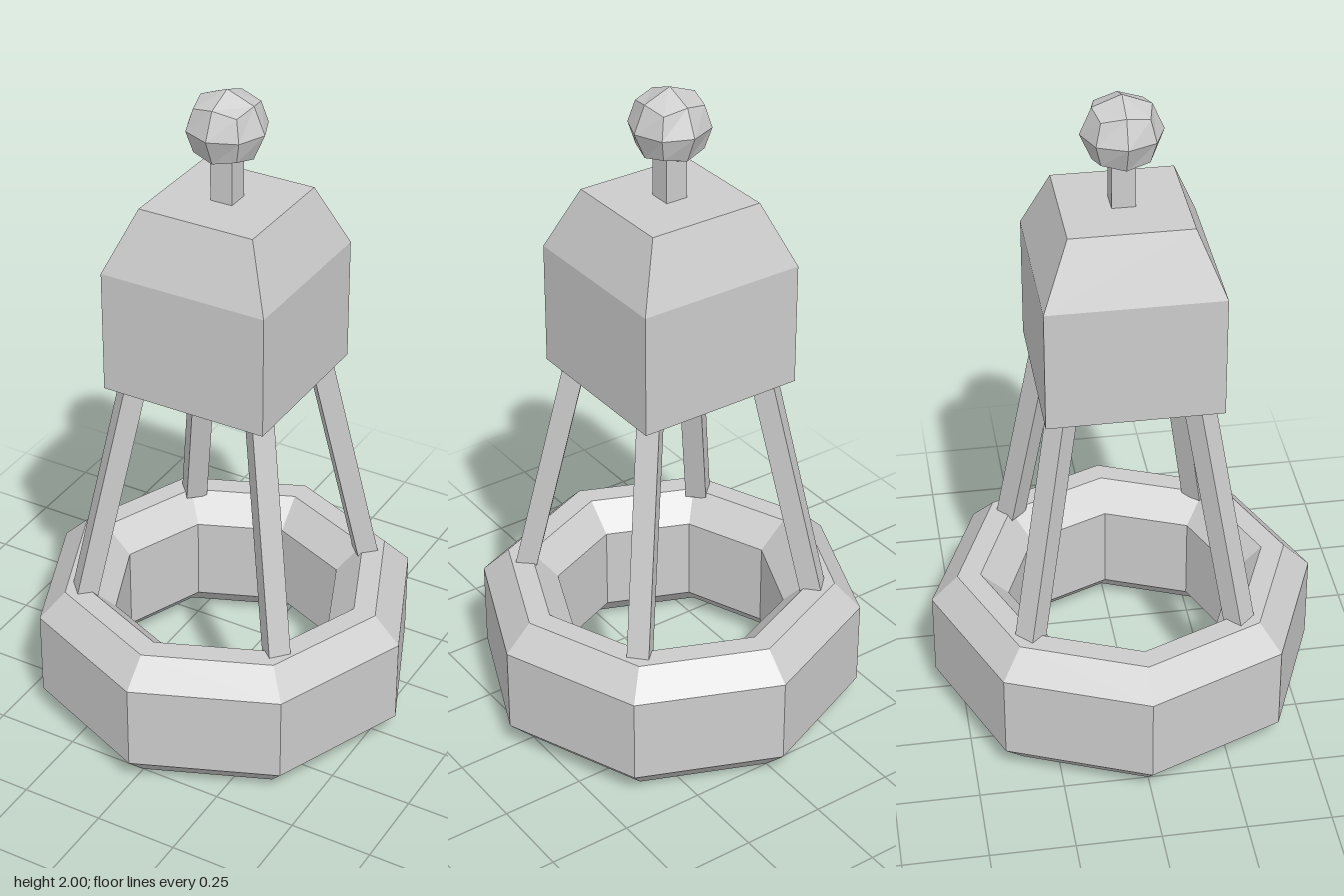
import * as THREE from 'three';

const material = new THREE.MeshStandardMaterial({ color: 0xcccccc, flatShading: true });

// Move every vertex of a geometry by a rule
function reshape(geometry, rule) {
  const pos = geometry.attributes.position;
  const v = new THREE.Vector3();
  for (let i = 0; i < pos.count; i++) {
    rule(v.fromBufferAttribute(pos, i));
    pos.setXYZ(i, v.x, v.y, v.z);
  }
  geometry.computeVertexNormals();
  return geometry;
}

export function createModel() {
  const group = new THREE.Group();
  const add = (name, geometry, y = 0) => {
    const mesh = new THREE.Mesh(geometry, material);
    mesh.name = name;
    mesh.position.y = y;
    group.add(mesh);
    return mesh;
  };

  // Eight-sided float ring with bevelled edges
  const profile = [
    [0.5, 0], [0.58, 0.08], [0.58, 0.345], [0.5, 0.425],
    [0.43, 0.425], [0.347, 0.345], [0.347, 0.08], [0.43, 0], [0.5, 0],
  ].map(([x, y]) => new THREE.Vector2(x, y));
  add('floatRing', new THREE.LatheGeometry(profile, 8));

  // Four square legs leaning inwards, set at slightly uneven angles
  const legBottom = 0.41, legTop = 1.125;
  [41.3, 136.6, 226.6, 316.3].forEach((degrees, i) => {
    const leg = reshape(new THREE.BoxGeometry(0.065, 1, 0.065), (v) => {
      const t = v.y + 0.5;
      v.x += THREE.MathUtils.lerp(0.436, 0.273, t);
      v.y = THREE.MathUtils.lerp(legBottom, legTop, t);
    });
    add(`leg${i + 1}`, leg).rotation.y = -THREE.MathUtils.degToRad(degrees);
  });

  // Square head whose upper part tapers
  add('head', reshape(new THREE.BoxGeometry(0.514, 2, 0.508, 1, 2, 1), (v) => {
    if (v.y > 0.5) {
      v.x *= 0.693;
      v.z *= 0.693;
    }
    v.y = v.y < -0.5 ? 1.115 : v.y < 0.5 ? 1.485 : 1.672;
  }));

  // Short square post
  add('post', new THREE.BoxGeometry(0.068, 0.16, 0.068), 1.74);

  // Ball made from a subdivided cube
  add('ball', reshape(new THREE.BoxGeometry(1, 1, 1, 2, 2, 2), (v) => {
    v.normalize().multiply(new THREE.Vector3(0.117, 0.111, 0.117));
  }), 1.889);

  return group;
}
